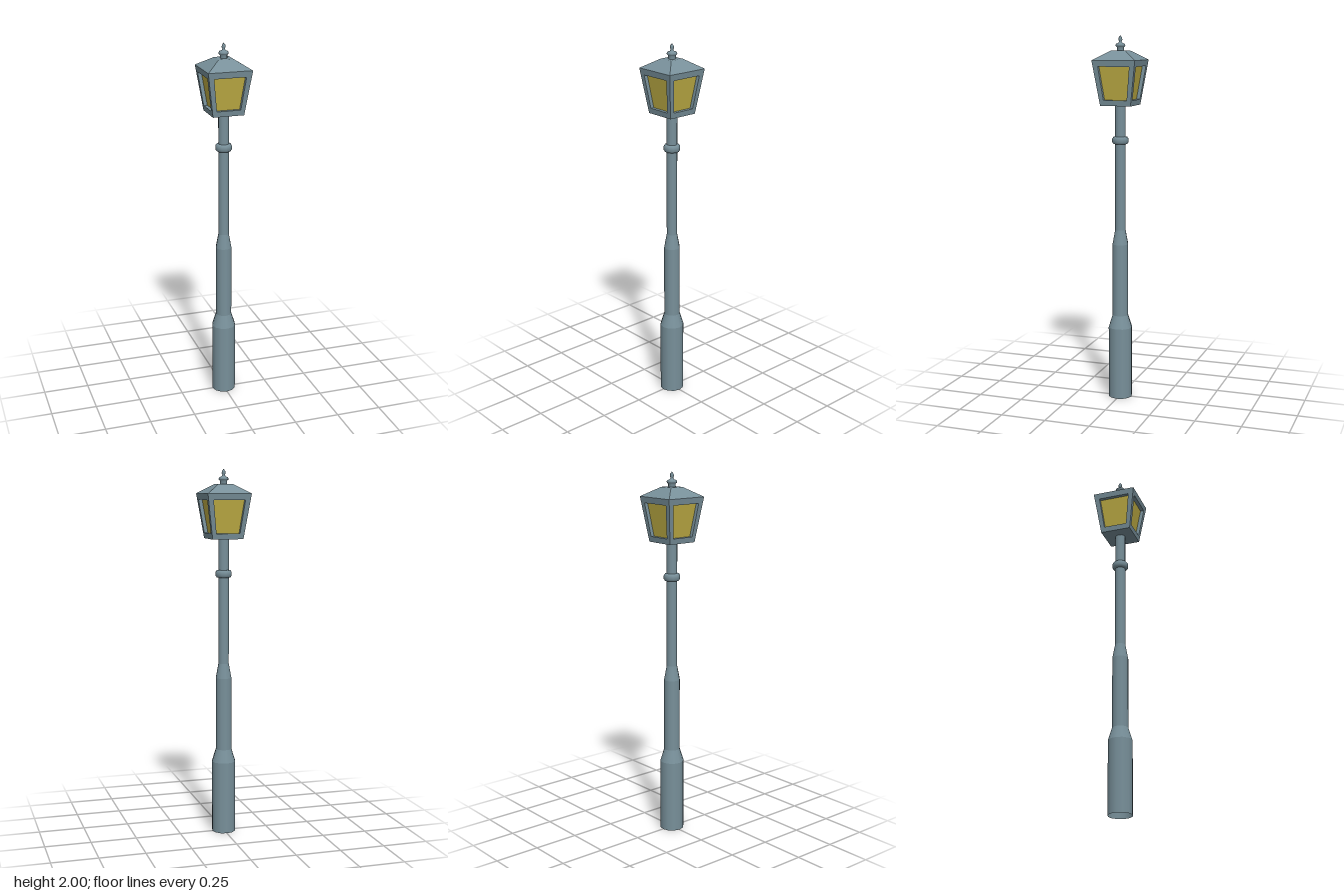
import * as THREE from 'three';

const iron = new THREE.MeshStandardMaterial({ color: 0x78909a, side: THREE.DoubleSide });
iron.name = 'blue grey iron';
const amber = new THREE.MeshStandardMaterial({ color: 0xbfae45, side: THREE.DoubleSide });
amber.name = 'amber glass';

const BOTTOM = 1.63, TOP = 1.87;
const halfWidth = (y) => THREE.MathUtils.lerp(0.085, 0.12, (y - BOTTOM) / (TOP - BOTTOM));

// Flat-shaded surface made of four-cornered faces, corners anticlockwise
function quads(list) {
  const pos = list.flatMap(([a, b, c, d]) => [a, b, c, a, c, d].flat());
  const geo = new THREE.BufferGeometry();
  geo.setAttribute('position', new THREE.Float32BufferAttribute(pos, 3));
  geo.computeVertexNormals();
  return geo;
}

// Trapezoid on the sloping lantern wall, pushed in by depth
function loop(y0, y1, x0, x1, depth) {
  const z0 = halfWidth(y0) - depth, z1 = halfWidth(y1) - depth;
  return [[-x0, y0, z0], [x0, y0, z0], [x1, y1, z1], [-x1, y1, z1]];
}

// Band of faces between two trapezoids
const band = (a, b) => a.map((p, i) => [p, a[(i + 1) % 4], b[(i + 1) % 4], b[i]]);

function part(parent, name, geometry, material) {
  const mesh = new THREE.Mesh(geometry, material);
  mesh.name = name;
  parent.add(mesh);
  return mesh;
}

// Turned section: each straight run of the profile keeps crisp ends
function turned(parent, name, profile, sides) {
  const group = new THREE.Group();
  group.name = name;
  for (let i = 0; i < profile.length - 1; i++) {
    const [r0, y0] = profile[i], [r1, y1] = profile[i + 1];
    const geo = new THREE.CylinderGeometry(r1, r0, y1 - y0, sides, 1, true);
    part(group, name + 'Section', geo, iron).position.y = (y0 + y1) / 2;
  }
  parent.add(group);
}

export function createModel() {
  const model = new THREE.Group();
  model.name = 'streetLamp';

  // Stepped post, open underneath
  turned(model, 'post', [
    [0.066, 0], [0.066, 0.4], [0.044, 0.47], [0.044, 0.87], [0.029, 0.95], [0.029, BOTTOM],
  ], 12);

  // Collar ring
  const collar = [[0.028, 1.42], [0.038, 1.422], [0.045, 1.432], [0.045, 1.45], [0.038, 1.46], [0.028, 1.462]];
  part(model, 'collar', new THREE.LatheGeometry(collar.map(([r, y]) => new THREE.Vector2(r, y)), 12), iron);

  // Lantern: four sloping frames with recessed panes
  const lantern = new THREE.Group();
  lantern.name = 'lantern';
  model.add(lantern);
  const outer = loop(BOTTOM, TOP, 0.085, 0.12, 0);
  const opening = loop(1.66, 1.837, 0.065, 0.087, 0);
  const recess = loop(1.66, 1.837, 0.065, 0.087, 0.02);
  const frameGeo = quads([...band(outer, opening), ...band(opening, recess)]);
  const paneGeo = quads([recess]);
  for (let i = 0; i < 4; i++) {
    const side = new THREE.Group();
    side.name = 'lanternSide';
    side.rotation.y = i * Math.PI / 2;
    part(side, 'frame', frameGeo, iron);
    part(side, 'pane', paneGeo, amber);
    lantern.add(side);
  }

  // Lantern floor
  const b = 0.085;
  part(lantern, 'floor', quads([[[-b, BOTTOM, -b], [b, BOTTOM, -b], [b, BOTTOM, b], [-b, BOTTOM, b]]]), iron);

  // Truncated pyramid roof
  const roofGeo = new THREE.CylinderGeometry(0.04 * Math.SQRT2, 0.12 * Math.SQRT2, 0.05, 4)
    .rotateY(Math.PI / 4).toNonIndexed();
  roofGeo.computeVertexNormals();
  part(lantern, 'roof', roofGeo, iron).position.y = TOP + 0.025;

  // Finial: foot, bead and spike
  const finial = [
    [0.02, 1.92], [0.02, 1.937], [0.026, 1.942], [0.028, 1.948], [0.024, 1.955],
    [0.011, 1.96], [0.007, 1.968], [0.011, 1.977], [0.009, 1.988], [0, 2],
  ];
  part(model, 'finial', new THREE.LatheGeometry(finial.map(([r, y]) => new THREE.Vector2(r, y)), 8), iron);

  return model;
}
